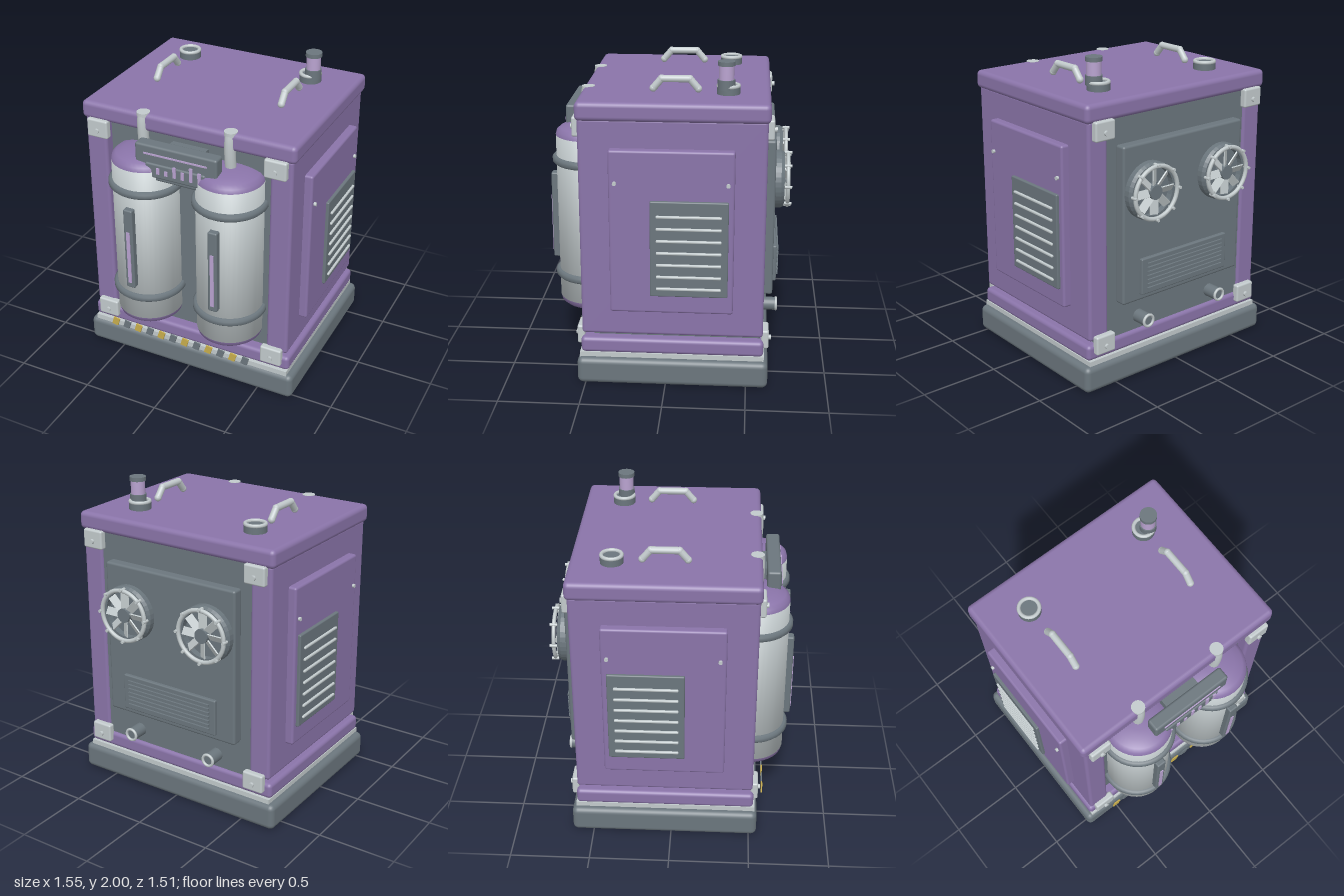
import * as THREE from 'three';
import { RoundedBoxGeometry } from 'three/addons/geometries/RoundedBoxGeometry.js';

const paint = (name, color, side = THREE.FrontSide) => {
  const m = new THREE.MeshStandardMaterial({ color, side });
  m.name = name;
  return m;
};

export function createModel() {
  const purple = paint('purple paint', 0x8a74a9);
  const dark = paint('dark grey metal', 0x6b767d);
  const light = paint('light grey metal', 0xc2cacc);
  const lilac = paint('lilac glow', 0xb9a3d0);
  const gold = paint('gold', 0xc8ad4c);
  const root = new THREE.Group();
  root.name = 'generatorCabinet';

  const add = (name, geo, mat, x = 0, y = 0, z = 0, parent = root) => {
    const m = new THREE.Mesh(geo, mat);
    m.name = name;
    m.position.set(x, y, z);
    parent.add(m);
    return m;
  };
  // Box given by its limits, with optional rounded edges
  const box = (name, mat, [x0, x1], [y0, y1], [z0, z1], r = 0, parent = root) => {
    const s = [x1 - x0, y1 - y0, z1 - z0];
    const geo = r ? new RoundedBoxGeometry(...s, 3, r) : new THREE.BoxGeometry(...s);
    return add(name, geo, mat, (x0 + x1) / 2, (y0 + y1) / 2, (z0 + z1) / 2, parent);
  };
  const disc = (name, mat, r, h, x, y, z, axis = 'y', parent = root, n = 24) => {
    const m = add(name, new THREE.CylinderGeometry(r, r, h, n), mat, x, y, z, parent);
    if (axis === 'z') m.rotation.x = Math.PI / 2;
    if (axis === 'x') m.rotation.z = Math.PI / 2;
    return m;
  };
  // Limits mirrored to the side s
  const span = (s, a, b) => (s > 0 ? [a, b] : [-b, -a]);

  // Cabinet body
  box('base', dark, [-0.742, 0.742], [0, 0.17], [-0.635, 0.55], 0.035);
  box('baseTrim', light, [-0.7, 0.7], [0.165, 0.2], [-0.61, 0.535]);
  box('plinth', purple, [-0.708, 0.708], [0.2, 0.3], [-0.605, 0.525], 0.025);
  box('core', dark, [-0.64, 0.64], [0.2, 1.72], [-0.585, 0.45]);
  box('lid', purple, [-0.712, 0.712], [1.685, 1.8], [-0.615, 0.53], 0.03);

  // Side walls with access panel and vent
  for (const s of [-1, 1]) {
    box('sideWall', purple, span(s, 0.55, 0.692), [0.325, 1.7], [-0.6, 0.518], 0.02);
    box('sidePanel', purple, span(s, 0.67, 0.743), [0.5, 1.525], [-0.413, 0.333], 0.015);
    box('sideVent', dark, span(s, 0.73, 0.762), [0.617, 1.222], [-0.38, 0.087], 0.008);
    for (let i = 0; i < 7; i++) {
      const y = 0.67 + i * 0.0765;
      box('ventSlat', light, span(s, 0.755, 0.775), [y - 0.008, y + 0.008], [-0.34, 0.05], 0.006);
    }
    for (const z of [0.295, -0.375]) disc('panelScrew', light, 0.012, 0.03, s * 0.743, 1.325, z, 'x', root, 12);

    // Corner brackets
    for (const y of [0.3, 1.64]) {
      for (const f of [-1, 1]) {
        const z = f > 0 ? [0.505, 0.553] : [-0.637, -0.59];
        box('cornerBracket', light, span(s, 0.522, 0.664), [y - 0.06, y + 0.06], z, 0.012);
        disc('bracketBolt', light, 0.016, 0.03, s * 0.593, y - 0.012, f > 0 ? 0.552 : -0.638, 'z', root, 12);
      }
    }
  }

  // Gas tanks
  const capProfile = [[0.21, 0], [0.203, 0.026], [0.18, 0.046], [0.13, 0.063], [0.07, 0.072], [0, 0.075]];
  const topCap = new THREE.LatheGeometry(capProfile.map(p => new THREE.Vector2(...p)), 40);
  const tankBody = new THREE.CylinderGeometry(0.21, 0.21, 1.07, 40, 1, true);
  // Soft normals blend the straight wall into the domed ends
  const n = tankBody.attributes.normal, v = new THREE.Vector3();
  for (let i = 0; i < n.count; i++) {
    v.fromBufferAttribute(n, i);
    v.y = Math.sign(tankBody.attributes.position.getY(i)) * 0.55;
    v.normalize();
    n.setXYZ(i, v.x, v.y, v.z);
  }
  for (const s of [-1, 1]) {
    const tank = new THREE.Group();
    tank.name = 'tank';
    tank.position.set(s * 0.287, 0, 0.5);
    root.add(tank);
    add('tankBody', tankBody, light, 0, 0.965, 0, tank);
    add('tankTopCap', topCap, purple, 0, 1.5, 0, tank);
    add('tankBottomCap', topCap, purple, 0, 0.43, 0, tank).rotation.x = Math.PI;
    for (const y of [0.593, 1.345]) {
      const p = [[0.2, -0.024], [0.222, -0.024], [0.234, -0.012], [0.234, 0.012], [0.222, 0.024], [0.2, 0.024]];
      add('tankBand', new THREE.LatheGeometry(p.map(q => new THREE.Vector2(...q)), 40), dark, 0, y, 0, tank);
    }
    box('gaugePlate', dark, [-0.031, 0.031], [0.68, 1.245], [0.19, 0.247], 0.01, tank);
    box('gaugeGlow', lilac, [-0.012, 0.012], [0.72, 1.09], [0.245, 0.252], 0, tank);
    // Feed pipe from the lid edge to the tank
    const pipe = new THREE.CatmullRomCurve3([[1.797, 0.505], [1.74, 0.512], [1.65, 0.51], [1.56, 0.5]]
      .map(([y, z]) => new THREE.Vector3(s * 0.29, y, z)));
    add('feedPipe', new THREE.TubeGeometry(pipe, 12, 0.034, 14), light);
    disc('pipeCollar', light, 0.041, 0.025, s * 0.29, 1.79, 0.5);
  }

  // Control console
  const console_ = new THREE.Group();
  console_.name = 'controlConsole';
  root.add(console_);
  box('consoleTop', dark, [-0.272, 0.272], [1.535, 1.672], [0.565, 0.65], 0.015, console_);
  box('consoleLower', dark, [-0.2, 0.2], [1.465, 1.56], [0.57, 0.66], 0.012, console_);
  box('consoleLip', dark, [-0.145, 0.145], [1.437, 1.48], [0.57, 0.645], 0.015, console_);
  box('consoleArm', dark, [-0.12, 0.12], [1.48, 1.62], [0.44, 0.58], 0, console_);
  box('consoleLight', lilac, [-0.21, 0.21], [1.612, 1.622], [0.648, 0.656], 0, console_);
  [0.02, 0.04, 0.03, 0.07, 0.05, 0.09, 0.07].forEach((h, i) => {
    const x = (i - 3) * 0.055;
    box('levelBar', lilac, [x - 0.01, x + 0.01], [1.5, 1.5 + h], [0.658, 0.667], 0, console_);
  });

  // Hazard stripe row
  const stripe = new THREE.Shape([[-0.03, -0.025], [0.014, -0.031], [0.03, 0.022], [-0.014, 0.03]]
    .map(p => new THREE.Vector2(...p)));
  const stripeGeo = new THREE.ExtrudeGeometry(stripe, { depth: 0.009, bevelEnabled: false });
  for (let i = 0; i < 12; i++)
    add('hazardStripe', stripeGeo, i % 2 ? dark : gold, -0.521 + i * 0.0866, 0.229, 0.576);

  // Back panel and grille
  box('backPanel', dark, [-0.478, 0.478], [0.525, 1.525], [-0.655, -0.58], 0.015);
  box('backGrille', dark, [-0.35, 0.35], [0.565, 0.8], [-0.678, -0.645], 0.008);
  for (let i = 0; i < 7; i++) {
    const y = 0.602 + i * 0.027;
    box('grilleSlat', dark, [-0.31, 0.31], [y - 0.006, y + 0.006], [-0.69, -0.67]);
  }

  // Fans and valve knobs on the back
  const ringProfile = [[0.148, 0], [0.18, 0], [0.18, 0.04], [0.168, 0.06], [0.148, 0.06], [0.148, 0]];
  const housing = new THREE.LatheGeometry(ringProfile.map(p => new THREE.Vector2(...p)), 36);
  const bladeGeo = new THREE.BoxGeometry(0.05, 0.1, 0.008);
  for (const s of [-1, 1]) {
    const fan = new THREE.Group();
    fan.name = 'fan';
    fan.position.set(s * 0.29, 1.23, -0.65);
    fan.rotation.y = Math.PI;
    root.add(fan);
    const h = add('fanHousing', housing.clone().toNonIndexed(), dark, 0, 0, 0, fan);
    h.geometry.computeVertexNormals();
    h.material = dark;
    h.rotation.x = Math.PI / 2;
    disc('fanBack', dark, 0.15, 0.02, 0, 0, 0.01, 'z', fan, 32);
    const rim = add('fanRim', new THREE.TorusGeometry(0.163, 0.014, 8, 36), light, 0, 0, 0.082, fan);
    rim.scale.z = 0.9;
    disc('fanHub', dark, 0.045, 0.065, 0, 0, 0.05, 'z', fan);
    for (let i = 0; i < 8; i++) {
      const arm = new THREE.Group();
      arm.name = 'fanBlade';
      arm.rotation.z = (i * Math.PI) / 4;
      fan.add(arm);
      add('blade', bladeGeo, light, 0, 0.093, 0.06, arm).rotation.y = 0.55;
      disc('rimBolt', light, 0.01, 0.045, 0, 0.17, 0.083, 'z', arm, 8);
    }
    disc('knobStem', dark, 0.042, 0.1, s * 0.3, 0.385, -0.63, 'z');
    add('knobRing', new THREE.TorusGeometry(0.037, 0.009, 8, 24), light, s * 0.3, 0.385, -0.684);

    // Roof handles
    const pts = [[1.825, 0.09], [1.884, 0.04], [1.884, -0.13], [1.825, -0.18]]
      .map(([y, z]) => new THREE.Vector3(s * 0.425, y, z));
    for (let i = 0; i < 3; i++) {
      const bar = new THREE.TubeGeometry(new THREE.LineCurve3(pts[i], pts[i + 1]), 1, 0.022, 12);
      add('handleBar', bar, light);
    }
    for (const p of pts) add('handleJoint', new THREE.SphereGeometry(0.023, 12, 8), light, p.x, p.y, p.z);

    // Roof sockets
    disc('roofSocket', dark, 0.07, 0.05, s * 0.427, 1.82, -0.36);
    const ring = add('socketRing', new THREE.TorusGeometry(0.061, 0.012, 8, 28), light, s * 0.427, 1.848, -0.36);
    ring.rotation.x = Math.PI / 2;
  }

  // Beacon lamp
  disc('beaconBase', dark, 0.052, 0.06, 0.45, 1.86, -0.347);
  disc('beaconGlow', lilac, 0.045, 0.09, 0.45, 1.932, -0.347);
  disc('beaconCap', dark, 0.052, 0.026, 0.45, 1.987, -0.347);

  return root;
}
